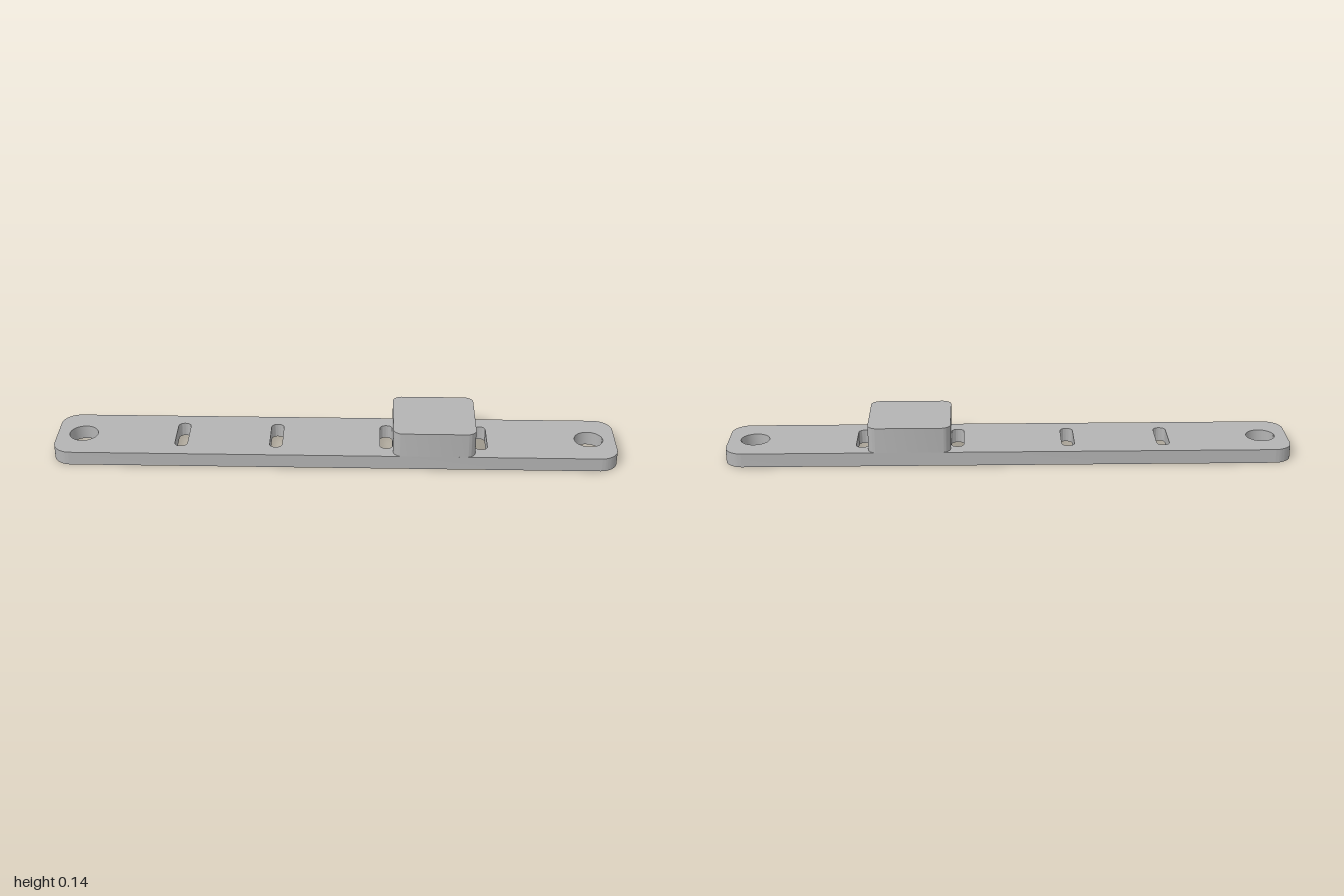
import * as THREE from 'three';
import { toCreasedNormals } from 'three/addons/utils/BufferGeometryUtils.js';

// Trace a rounded rectangle centred on (cx, 0) into a Shape or Path
function roundedRect(path, cx, length, width, r) {
  const x = length / 2 - r, y = width / 2 - r;
  path.absarc(cx + x, y, r, 0, Math.PI / 2);
  path.absarc(cx - x, y, r, Math.PI / 2, Math.PI);
  path.absarc(cx - x, -y, r, Math.PI, Math.PI * 1.5);
  path.absarc(cx + x, -y, r, Math.PI * 1.5, Math.PI * 2);
  path.closePath();
  return path;
}

// Extrude a flat outline upwards, rounded walls smooth and edges sharp
function slab(name, shape, bottom, top, material) {
  const geometry = new THREE.ExtrudeGeometry(shape, {
    depth: top - bottom, bevelEnabled: false, curveSegments: 16,
  });
  geometry.rotateX(-Math.PI / 2);
  geometry.translate(0, bottom, 0);
  const mesh = new THREE.Mesh(toCreasedNormals(geometry, 0.6), material);
  mesh.name = name;
  return mesh;
}

export function createModel() {
  const grey = new THREE.MeshStandardMaterial({ color: 0xb4b4b4 });
  grey.name = 'grey';

  const width = 0.269;
  const plateTop = 0.05;

  // Base plate with a round hole at each end and four cross slots
  const plate = roundedRect(new THREE.Shape(), 0, 1.998, width, 0.065);
  for (const x of [-0.905, 0.905]) {
    plate.holes.push(new THREE.Path().absarc(x, 0, 0.051, 0, Math.PI * 2, true));
  }
  for (const x of [-0.548, -0.21, 0.182, 0.518]) {
    plate.holes.push(roundedRect(new THREE.Path(), x, 0.045, 0.16, 0.02));
  }

  // Raised block between the last two slots
  const block = roundedRect(new THREE.Shape(), 0.3505, 0.29, width, 0.033);

  const model = new THREE.Group();
  model.name = 'mountingBar';
  model.add(slab('basePlate', plate, 0, plateTop, grey));
  model.add(slab('raisedBlock', block, plateTop, 0.141, grey));

  // The bar lies slightly askew
  model.rotation.y = -THREE.MathUtils.degToRad(7.45);

  const root = new THREE.Group();
  root.name = 'model';
  root.add(model);
  return root;
}
